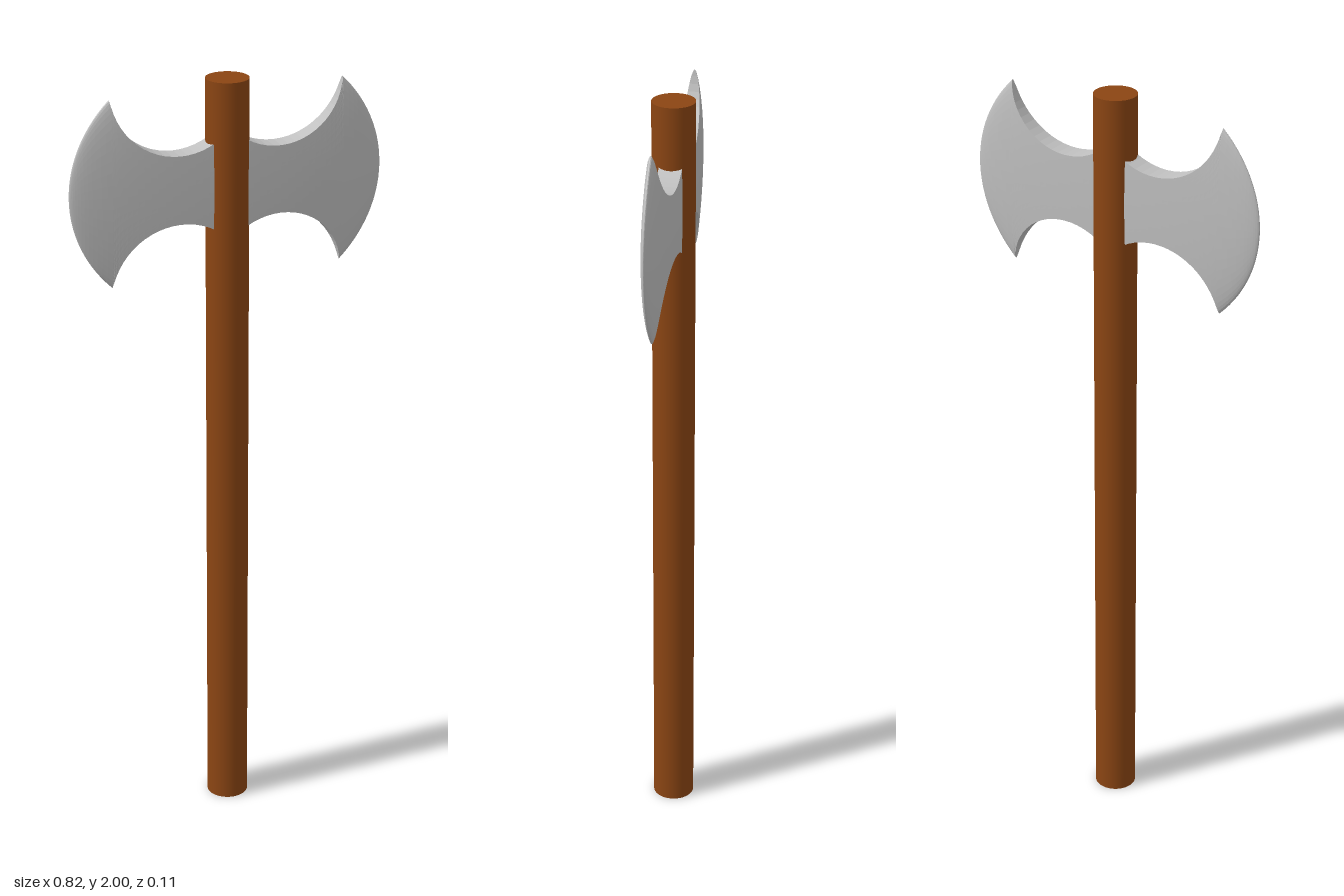
import * as THREE from 'three';

const CENTER_Y = 1.736;                              // middle height of the axe head
const RX = 0.408, RY = 0.355, RZ = 0.03;             // lens-shaped (ellipsoid) head
const CUT = { x: 0.13, y: 0.26, r: 0.173 };          // round bite above and below the neck
const TIP_X = 0.302;                                 // where bite and cutting edge meet

const ellipseHeight = (x) => RY * Math.sqrt(Math.max(0, 1 - (x / RX) ** 2));

// Columns across one blade: along the bite, then along the curved cutting edge
function bladeColumns() {
  const columns = [];
  const a0 = Math.asin((0.04 - CUT.x) / CUT.r), a1 = Math.asin((TIP_X - CUT.x) / CUT.r);
  for (let i = 0; i <= 18; i++) {
    const a = a0 + (a1 - a0) * i / 18;
    const x = CUT.x + CUT.r * Math.sin(a);
    columns.push({ x, h: Math.min(CUT.y - CUT.r * Math.cos(a), ellipseHeight(x)) });
  }
  const b0 = Math.asin(TIP_X / RX);
  for (let i = 1; i <= 14; i++) {
    const x = RX * Math.sin(b0 + (Math.PI / 2 - b0) * i / 14);
    columns.push({ x, h: ellipseHeight(x) });
  }
  return columns;
}

function bladeGeometry() {
  const columns = bladeColumns(), rows = 24, pos = [];
  const point = (c, j, side) => {
    const y = c.h * Math.sin((j / rows - 0.5) * Math.PI);
    const z = RZ * Math.sqrt(Math.max(0, 1 - (c.x / RX) ** 2 - (y / RY) ** 2));
    return [c.x, CENTER_Y + y, side * z];
  };
  const quad = (a, b, c, d) => pos.push(...a, ...b, ...c, ...a, ...c, ...d);

  for (let i = 0; i < columns.length - 1; i++) {
    const l = columns[i], r = columns[i + 1];
    // Front and back cheeks
    for (let j = 0; j < rows; j++) {
      quad(point(l, j, 1), point(r, j, 1), point(r, j + 1, 1), point(l, j + 1, 1));
      quad(point(r, j, -1), point(l, j, -1), point(l, j + 1, -1), point(r, j + 1, -1));
    }
    // Walls of the upper and lower bites
    if (i < 18) {
      quad(point(l, rows, 1), point(r, rows, 1), point(r, rows, -1), point(l, rows, -1));
      quad(point(l, 0, -1), point(r, 0, -1), point(r, 0, 1), point(l, 0, 1));
    }
  }
  const geometry = new THREE.BufferGeometry();
  geometry.setAttribute('position', new THREE.Float32BufferAttribute(pos, 3));
  geometry.computeVertexNormals();
  return geometry;
}

export function createModel() {
  const wood = new THREE.MeshStandardMaterial({ color: 0x8b4513 });
  wood.name = 'brown wood';
  const steel = new THREE.MeshStandardMaterial({ color: 0xc0c0c0 });
  steel.name = 'silver steel';

  const model = new THREE.Group();
  model.name = 'doubleAxe';

  // Handle
  const handle = new THREE.Mesh(new THREE.CylinderGeometry(0.054, 0.054, 2, 48), wood);
  handle.name = 'handle';
  handle.position.y = 1;
  model.add(handle);

  // Two opposite blades
  const geometry = bladeGeometry();
  for (const [name, angle] of [['leftBlade', 0], ['rightBlade', Math.PI]]) {
    const blade = new THREE.Mesh(geometry, steel);
    blade.name = name;
    blade.rotation.y = angle;
    model.add(blade);
  }
  return model;
}
